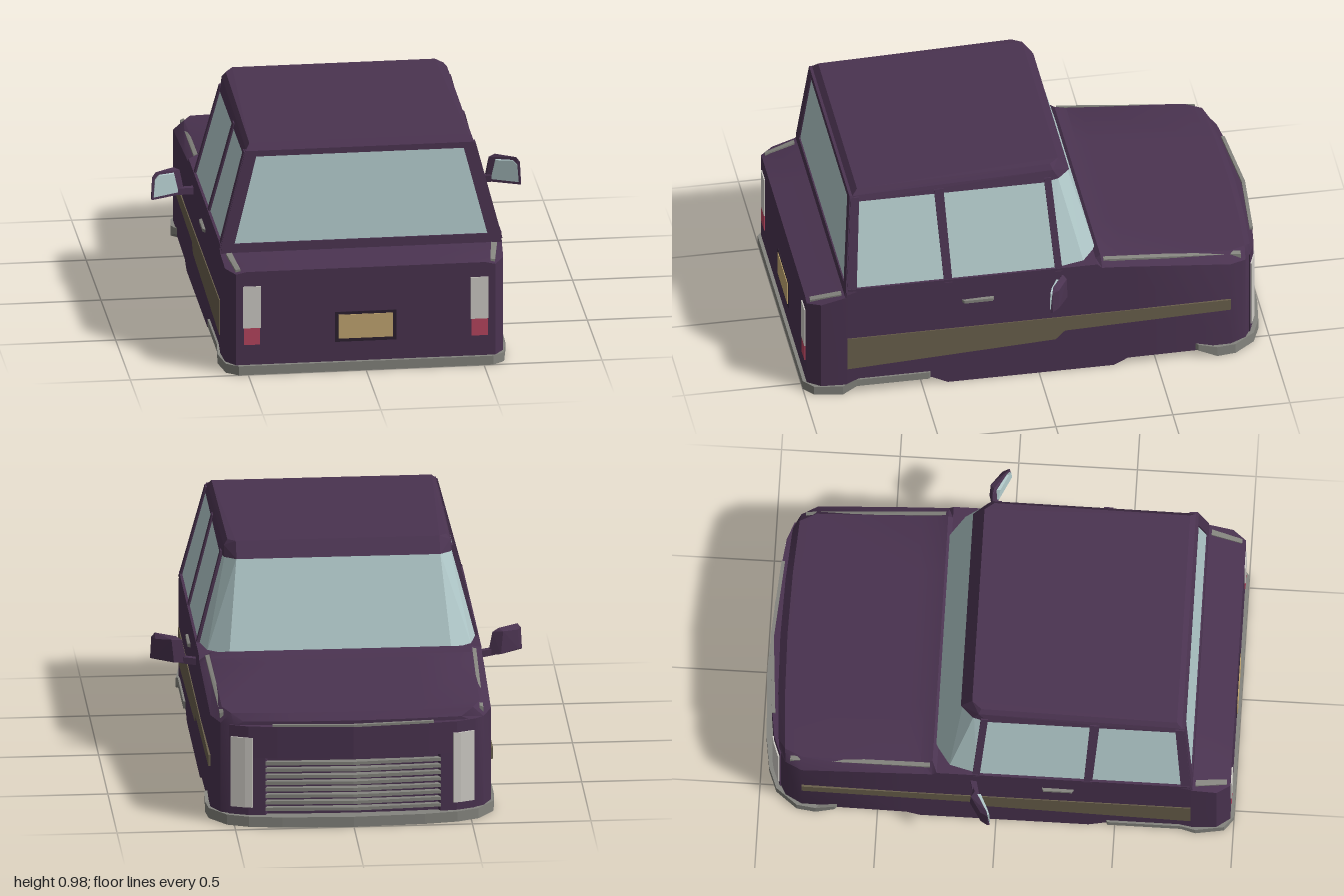
import * as THREE from 'three';
import { ConvexGeometry } from 'three/addons/geometries/ConvexGeometry.js';
import { mergeGeometries, toCreasedNormals } from 'three/addons/utils/BufferGeometryUtils.js';

const mat = (color) => new THREE.MeshStandardMaterial({ color });
const paint = mat(0x4a3350), glass = mat(0xb4cccd), trim = mat(0x84847e), strip = mat(0x6a604c);
const white = mat(0xcfccc6), red = mat(0xb84660), amber = mat(0xc4a872), dark = mat(0x2c2030);

const V = (p) => new THREE.Vector3(...p);
const hull = (pts) => new ConvexGeometry(pts.map(V));
const flipX = (pts) => pts.map(([x, ...rest]) => [-x, ...rest]);

// Box between two opposite corners
function box(x0, x1, y0, y1, z0, z1) {
  const g = new THREE.BoxGeometry(x1 - x0, y1 - y0, z1 - z0);
  return g.translate((x0 + x1) / 2, (y0 + y1) / 2, (z0 + z1) / 2);
}

// Band following [x, z, y0, y1] points, thickened towards the middle of the car
function ribbon(pts, sx = 0.92, sz = 0.94) {
  const ends = pts.map(([x, z, y0, y1]) => [[x, y0, z], [x, y1, z], [x * sx, y0, z * sz], [x * sx, y1, z * sz]]);
  return mergeGeometries(ends.slice(1).map((e, i) => hull([...ends[i], ...e])));
}
const bothRibbons = (pts, sx, sz) => mergeGeometries([ribbon(pts, sx, sz), ribbon(flipX(pts), sx, sz)]);

// Lower body lofted along z: [z, half width, side height, top height, floor height]
function bodyGeometry() {
  const stations = [
    [0.985, 0.55, 0.445, 0.455, 0.02], [0.93, 0.59, 0.455, 0.465, 0.02],
    [0.825, 0.597, 0.485, 0.487, 0.02], [0.815, 0.597, 0.525, 0.525, 0.02],
    [0.78, 0.597, 0.525, 0.525, 0.035], [0.46, 0.597, 0.525, 0.525, 0.035],
    [0.39, 0.597, 0.525, 0.525, 0], [-0.25, 0.597, 0.525, 0.525, 0],
    [-0.27, 0.597, 0.505, 0.54, 0], [-0.32, 0.597, 0.502, 0.528, 0],
    [-0.38, 0.597, 0.497, 0.523, 0.03], [-0.82, 0.592, 0.452, 0.49, 0.03],
    [-0.89, 0.555, 0.442, 0.484, 0.02], [-0.92, 0.5, 0.435, 0.455, 0.02],
  ];
  const cols = [-1, -0.92, -0.5, 0, 0.5, 0.92, 1], n = cols.length;
  const rings = stations.map(([z, w, side, top, floor]) => {
    const bow = (f) => (z < -0.8 ? z - 0.025 * (1 - f * f) : z);
    const upper = cols.map((f) => [f * w, Math.abs(f) === 1 ? side : top, bow(f)]);
    const lower = cols.map((f) => [f * w, floor, bow(f)]).reverse();
    return [...upper, ...lower];
  });
  const pos = [];
  const quad = (a, b, c, d) => pos.push(...a, ...b, ...c, ...a, ...c, ...d);
  for (let s = 0; s + 1 < rings.length; s++) {
    for (let i = 0; i < 2 * n; i++) {
      const j = (i + 1) % (2 * n);
      quad(rings[s][i], rings[s][j], rings[s + 1][j], rings[s + 1][i]);
    }
  }
  // End caps
  const back = rings[0], front = rings[rings.length - 1];
  for (let i = 0; i + 1 < n; i++) {
    const lo = 2 * n - 1 - i;
    quad(back[i], back[lo], back[lo - 1], back[i + 1]);
    quad(front[i], front[i + 1], front[lo - 1], front[lo]);
  }
  const g = new THREE.BufferGeometry();
  g.setAttribute('position', new THREE.Float32BufferAttribute(pos, 3));
  return toCreasedNormals(g, 0.5);
}

// Cabin wall planes
const sideX = (y) => 0.59 - (y - 0.51) * 0.26;
const rearZ = (y) => 0.82 - (y - 0.51) * 0.086;

// Slabs lying on the cabin side (z, y) or on the cabin rear (x, y)
const sideSlab = (s, pts) => hull(pts.flatMap(([z, y]) => [-0.02, 0.008].map((o) => [s * (sideX(y) + o), y, z])));
const rearSlab = (pts) => hull(pts.flatMap(([x, y]) => [-0.02, 0.006].map((o) => [x, y, rearZ(y) + o])));

export function createModel() {
  const car = new THREE.Group();
  const add = (name, geometry, material) => {
    const m = new THREE.Mesh(geometry, material);
    m.name = name;
    car.add(m);
  };
  add('body', bodyGeometry(), paint);

  // Glasshouse
  const mirror = (pts) => [...pts, ...flipX(pts)];
  add('cabinGlass', hull(mirror([
    [0.47, 0.51, -0.265], [0.56, 0.51, -0.2], [0.59, 0.51, -0.08], [0.59, 0.51, 0.82],
    [0.43, 0.915, -0.15], [0.475, 0.915, -0.1], [0.485, 0.915, -0.04], [0.485, 0.915, 0.785],
  ])), glass);
  add('roof', hull(mirror([
    [0.43, 0.912, -0.158], [0.478, 0.905, -0.105], [0.492, 0.9, -0.04], [0.492, 0.9, 0.79],
    [0.43, 0.977, -0.11], [0.462, 0.972, -0.07], [0.478, 0.95, -0.08], [0.465, 0.948, 0.755], [0.482, 0.925, 0.778],
  ])), paint);

  // Pillars and rear window frame
  for (const s of [1, -1]) {
    add('frontPillar', sideSlab(s, [[-0.07, 0.51], [-0.1, 0.51], [-0.07, 0.92], [-0.04, 0.92]]), paint);
    add('middlePillar', sideSlab(s, [[0.37, 0.51], [0.405, 0.51], [0.43, 0.92], [0.39, 0.92]]), paint);
    add('rearPillar', sideSlab(s, [[0.78, 0.51], [0.822, 0.5], [0.787, 0.92], [0.75, 0.92]]), paint);
    add('rearWindowSide', rearSlab([[s * 0.54, 0.51], [s * 0.595, 0.51], [s * 0.487, 0.92], [s * 0.435, 0.92]]), paint);
  }
  add('rearWindowSill', rearSlab([[-0.595, 0.48], [0.595, 0.48], [0.59, 0.525], [-0.59, 0.525]]), paint);
  add('rearWindowHeader', rearSlab([[-0.49, 0.9], [0.49, 0.9], [0.485, 0.925], [-0.485, 0.925]]), paint);

  // Nose: overhanging lip, lamp panels and grille
  add('noseLip', bothRibbons([[0, -0.985, 0.3, 0.44], [0.32, -0.96, 0.3, 0.44], [0.44, -0.945, 0.3, 0.44], [0.52, -0.915, 0.3, 0.44]]), paint);
  add('hoodTrim', bothRibbons([[0, -0.987, 0.44, 0.45], [0.34, -0.96, 0.44, 0.45]], 1, 0.985), trim);
  add('lampPanels', bothRibbons([[0.37, -0.95, 0.03, 0.31], [0.44, -0.943, 0.03, 0.31], [0.52, -0.915, 0.03, 0.31]]), paint);
  add('headlights', bothRibbons([[0.425, -0.952, 0.08, 0.39], [0.455, -0.946, 0.08, 0.39], [0.515, -0.924, 0.08, 0.39]], 0.98, 0.98), white);
  for (let i = 0; i < 8; i++) {
    const y = 0.065 + i * 0.029;
    add('grilleBar', bothRibbons([[0, -0.978, y, y + 0.014], [0.37, -0.953, y, y + 0.014]], 1, 0.96), trim);
  }

  // Bumpers
  add('frontBumper', bothRibbons([
    [0, -1, 0, 0.045], [0.3, -0.985, 0, 0.045], [0.44, -0.965, 0, 0.045], [0.53, -0.93, 0, 0.045],
    [0.6, -0.84, 0, 0.045], [0.61, -0.76, 0, 0.045], [0.606, -0.68, 0.035, 0.065],
  ]), trim);
  add('rearBumper', bothRibbons([
    [0, 1, 0, 0.04], [0.54, 1, 0, 0.04], [0.59, 0.96, 0, 0.04], [0.61, 0.84, 0, 0.04],
    [0.606, 0.78, 0.033, 0.065], [0.606, 0.47, 0.033, 0.065],
  ]), trim);

  // Side details
  const stripShape = new THREE.Shape([[-0.82, 0.12], [-0.82, 0.275], [0.82, 0.275], [0.82, 0.225], [0.11, 0.205], [0.07, 0.165]]
    .map(([x, y]) => new THREE.Vector2(x, y)));
  for (const s of [1, -1]) {
    const g = new THREE.ExtrudeGeometry(stripShape, { depth: 0.02, bevelEnabled: false });
    g.rotateY(Math.PI / 2).translate(s > 0 ? 0.581 : -0.601, 0, 0);
    add('sideStrip', g, strip);
    const X = (pts) => hull(pts.map(([x, y, z]) => [s * x, y, z]));
    add('doorHandle', X([[0.59, 0.4, 0.33], [0.59, 0.415, 0.335], [0.609, 0.402, 0.32], [0.609, 0.415, 0.32],
      [0.59, 0.4, 0.19], [0.59, 0.42, 0.19], [0.609, 0.402, 0.2], [0.609, 0.415, 0.2]]), trim);
    add('hoodSideTrim', X([[0.555, 0.5, -0.28], [0.555, 0.534, -0.28], [0.572, 0.5, -0.28], [0.572, 0.53, -0.28],
      [0.54, 0.45, -0.87], [0.54, 0.482, -0.87], [0.556, 0.45, -0.87], [0.556, 0.475, -0.87]]), trim);
    add('deckTrim', X([[0.55, 0.46, 0.84], [0.55, 0.492, 0.84], [0.575, 0.46, 0.84], [0.575, 0.49, 0.84],
      [0.53, 0.44, 0.97], [0.53, 0.464, 0.97], [0.55, 0.44, 0.97], [0.55, 0.46, 0.97]]), trim);

    // Wing mirror
    add('mirrorArm', X([[0.585, 0.425, -0.11], [0.585, 0.455, -0.11], [0.585, 0.425, -0.085], [0.585, 0.455, -0.085],
      [0.665, 0.432, -0.09], [0.665, 0.46, -0.09], [0.665, 0.432, -0.065], [0.665, 0.46, -0.065]]), paint);
    add('mirrorHousing', X([[0.635, 0.432, -0.09], [0.655, 0.535, -0.09], [0.68, 0.55, -0.085], [0.765, 0.55, -0.03],
      [0.785, 0.435, -0.025], [0.78, 0.53, -0.025], [0.69, 0.44, -0.105], [0.7, 0.54, -0.1], [0.77, 0.445, -0.055],
      [0.765, 0.53, -0.055], [0.645, 0.43, -0.08], [0.782, 0.432, -0.015]]), paint);
    const face = [[0.662, 0.443], [0.774, 0.443], [0.768, 0.52], [0.75, 0.536], [0.682, 0.53]];
    const faceZ = (x) => -0.08 + (x - 0.645) * 0.475;
    add('mirrorGlass', X(face.flatMap(([x, y]) => [[x, y, faceZ(x) - 0.02], [x, y, faceZ(x) + 0.004]])), glass);

    // Tail lamps
    const lo = Math.min(s * 0.445, s * 0.52), hi = Math.max(s * 0.445, s * 0.52);
    add('tailLampUpper', box(lo, hi, 0.205, 0.39, 0.97, 0.99), white);
    add('tailLampLower', box(lo + 0.003, hi - 0.003, 0.13, 0.205, 0.97, 0.989), red);
  }

  // Plate
  add('plateFrame', box(-0.13, 0.13, 0.127, 0.26, 0.97, 0.988), dark);
  add('plate', box(-0.115, 0.115, 0.142, 0.248, 0.97, 0.991), amber);
  return car;
}
